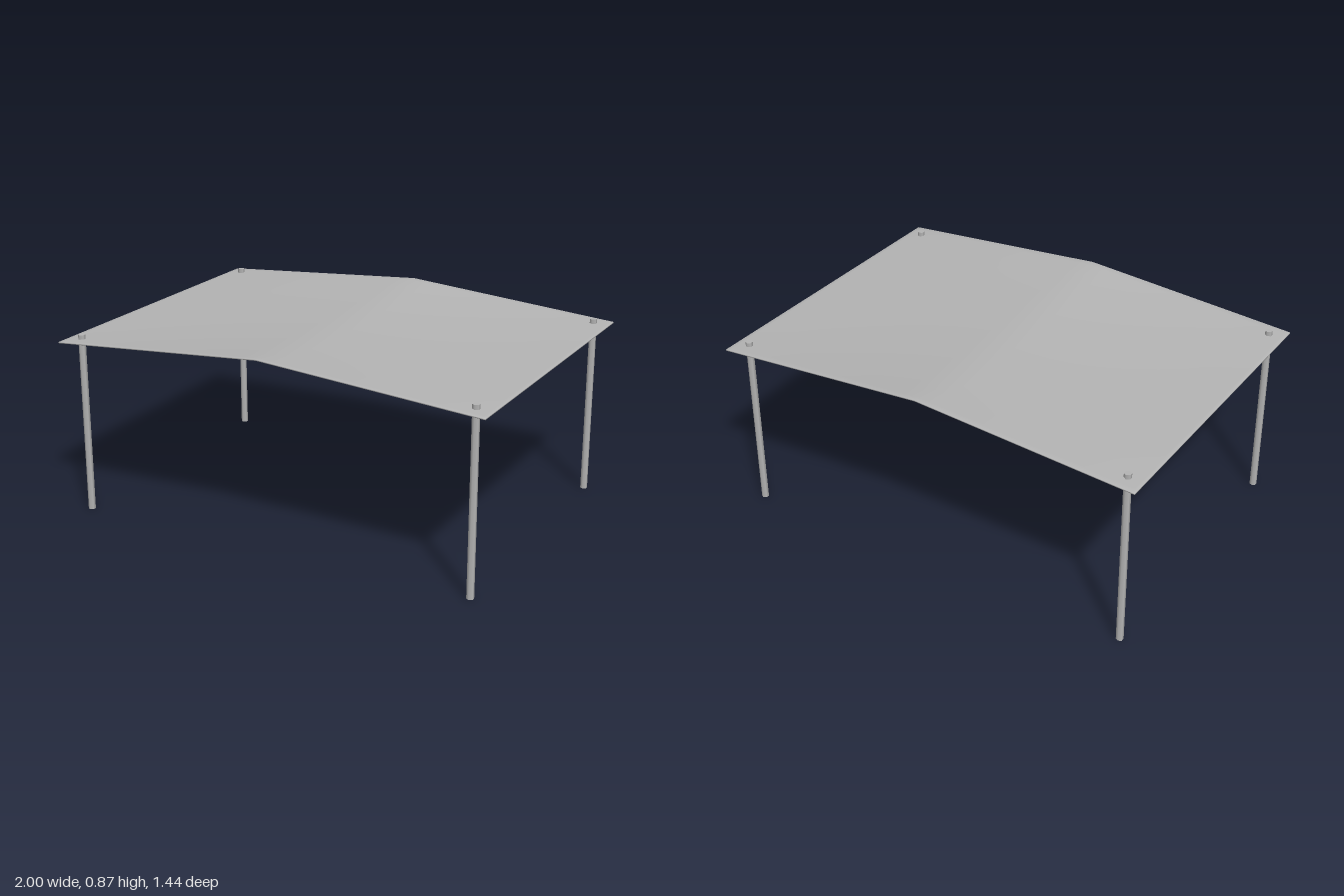
import * as THREE from 'three';
import { mergeVertices } from 'three/addons/utils/BufferGeometryUtils.js';

const HALF_W = 1, HALF_D = 0.72, THICK = 0.005;
const EAVE = 0.79, RIDGE_END = 0.866, RIDGE_MID = 0.835;

// Height of the stretched fabric: a gable whose ridge dips towards the middle
function canopyHeight(x, z) {
  const u = Math.abs(x) / HALF_W, v = Math.min(1, (z / HALF_D) ** 2);
  const ridge = RIDGE_MID + (RIDGE_END - RIDGE_MID) * v;
  const sag = 0.004 * Math.sin(Math.PI * u) * (1 - v);
  return EAVE + (ridge - EAVE) * (1 - u) - sag;
}

function makeCanopyGeometry() {
  const nx = 24, nz = 24;
  let geo = new THREE.BoxGeometry(HALF_W * 2, THICK, HALF_D * 2, nx, 1, nz);
  // Shared vertices give the thin sheet a softly rounded rim
  geo.deleteAttribute('normal');
  geo.deleteAttribute('uv');
  geo = mergeVertices(geo);
  const p = geo.attributes.position;
  // Move the outermost inner grid lines close to the hem
  const hem = (c, half, n, inset) =>
    Math.abs(Math.abs(c) - half * (1 - 2 / n)) < 1e-3 ? Math.sign(c) * (half - inset) : c;
  for (let i = 0; i < p.count; i++) {
    const x = hem(p.getX(i), HALF_W, nx, 0.018);
    const z = hem(p.getZ(i), HALF_D, nz, 0.03);
    p.setXYZ(i, x, canopyHeight(x, z) + p.getY(i), z);
  }
  geo.computeVertexNormals();
  return geo;
}

export function createModel() {
  const model = new THREE.Group();
  model.name = 'shadeCanopy';
  const grey = new THREE.MeshStandardMaterial({ color: 0xb4b4b4 });
  grey.name = 'light grey';

  const canopy = new THREE.Mesh(makeCanopyGeometry(), grey);
  canopy.name = 'canopy';
  model.add(canopy);

  // Four slim posts that pass through the corners of the canopy
  const height = 0.817;
  const postGeo = new THREE.CylinderGeometry(0.016, 0.016, height, 6);
  for (const [sx, side] of [[1, 'left'], [-1, 'right']]) {
    for (const [sz, end] of [[1, 'Front'], [-1, 'Back']]) {
      const post = new THREE.Mesh(postGeo, grey);
      post.name = `${side}${end}Post`;
      post.position.set(sx * 0.93, height / 2, sz * 0.645);
      model.add(post);
    }
  }
  return model;
}
